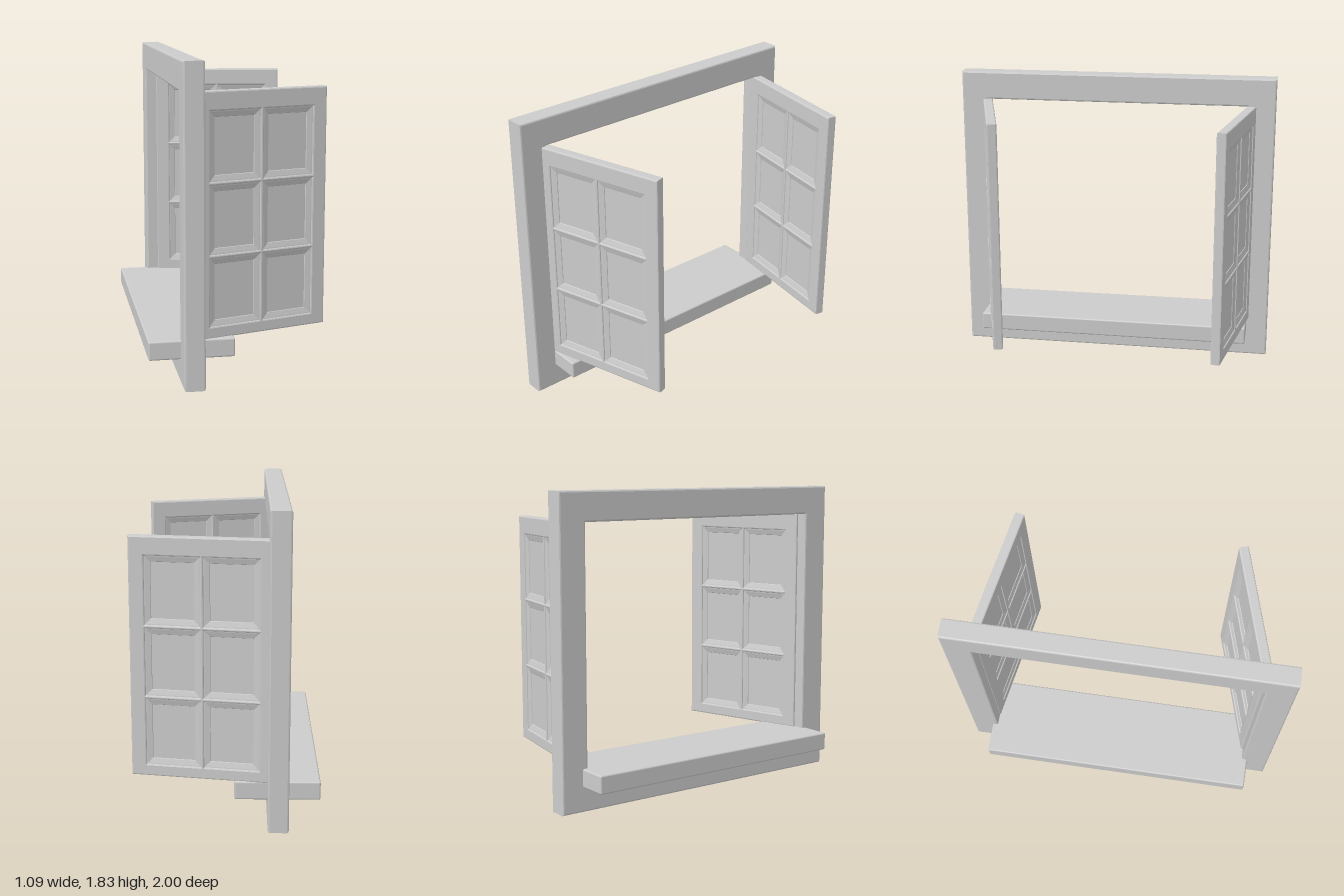
import * as THREE from 'three';
import { RoundedBoxGeometry } from 'three/addons/geometries/RoundedBoxGeometry.js';

const material = new THREE.MeshStandardMaterial({ color: 0xcccccc });

const T = 0.06, W = 0.835, BOTTOM = 0.25, TOP = 1.655; // shutter size
const CELL_W = 0.318, CELL_H = 0.395, GAP = 0.02; // glazing grid
const EDGE = 0.008;

function mesh(name, geometry) {
  const m = new THREE.Mesh(geometry, material);
  m.name = name;
  return m;
}

// Counter-clockwise rectangle corners
function corners(x0, y0, x1, y1) {
  return [[x0, y0], [x1, y0], [x1, y1], [x0, y1]].map(([x, y]) => new THREE.Vector2(x, y));
}

// Flat board with rectangular openings and softened edges, centred on z
function board(outer, holes, thickness, bevel) {
  const shape = new THREE.Shape(outer);
  holes.forEach((h) => shape.holes.push(new THREE.Path(h)));
  const g = new THREE.ExtrudeGeometry(shape, {
    depth: thickness - 2 * bevel, bevelEnabled: true, bevelSize: bevel,
    bevelThickness: bevel, bevelOffset: -bevel, bevelSegments: 2,
  });
  return g.translate(0, 0, -thickness / 2 + bevel);
}

// Sunken panel: stepped moulding rings running down to a flat centre
function panelGeometry() {
  const profile = [[0, T / 2 - EDGE], [0.006, 0.021], [0.034, 0.013], [0.036, 0.009], [0.045, 0.009]];
  const rings = profile.map(([inset, z]) =>
    corners(-CELL_W / 2 + inset, -CELL_H / 2 + inset, CELL_W / 2 - inset, CELL_H / 2 - inset)
      .map((p) => new THREE.Vector3(p.x, p.y, z)));
  const points = [];
  const quad = (a, b, c, d) => points.push(a, b, c, a, c, d);
  for (let r = 0; r < rings.length - 1; r++) {
    for (let i = 0; i < 4; i++) {
      const j = (i + 1) % 4;
      quad(rings[r][i], rings[r][j], rings[r + 1][j], rings[r + 1][i]);
    }
  }
  quad(...rings[rings.length - 1]);
  const g = new THREE.BufferGeometry().setFromPoints(points);
  g.computeVertexNormals();
  return g;
}

// Shutter with its hinge edge at local x = 0, panelled on both faces
function shutter(name) {
  const group = new THREE.Group();
  group.name = name;
  const panel = panelGeometry();
  const holes = [];
  const u0 = (W - 2 * CELL_W - GAP) / 2;
  const v0 = 0.32;
  for (let col = 0; col < 2; col++) {
    for (let row = 0; row < 3; row++) {
      const x = u0 + col * (CELL_W + GAP);
      const y = v0 + row * (CELL_H + GAP);
      holes.push(corners(x, y, x + CELL_W, y + CELL_H).reverse());
      for (const turn of [0, Math.PI]) {
        const p = mesh('sunkenPanel', panel);
        p.position.set(x + CELL_W / 2, y + CELL_H / 2, 0);
        p.rotation.y = turn;
        group.add(p);
      }
    }
  }
  group.add(mesh('shutterLattice', board(corners(0, BOTTOM, W, TOP), holes, T, EDGE)));
  return group;
}

export function createModel() {
  const model = new THREE.Group();
  model.name = 'shutteredWindow';

  // Window surround
  const frame = mesh('windowFrame', board(
    corners(-1, 0, 1, 1.83), [corners(-0.83, 0.255, 0.83, 1.655).reverse()], 0.12, 0.01));
  frame.rotation.y = Math.PI / 2;
  frame.position.x = -0.3;
  model.add(frame);

  // Sill passing through the surround
  const sill = mesh('sill', new RoundedBoxGeometry(0.495, 0.11, 1.73, 2, 0.01));
  sill.position.set(-0.2975, 0.2, 0);
  model.add(sill);

  // Two shutters, opened to slightly different angles
  const front = shutter('frontShutter');
  front.position.set(-0.285, 0, 0.846);
  front.rotation.y = THREE.MathUtils.degToRad(16.3);
  const back = shutter('backShutter');
  back.position.set(-0.283, 0, -0.855);
  back.rotation.y = THREE.MathUtils.degToRad(-9.6);
  model.add(front, back);

  return model;
}
